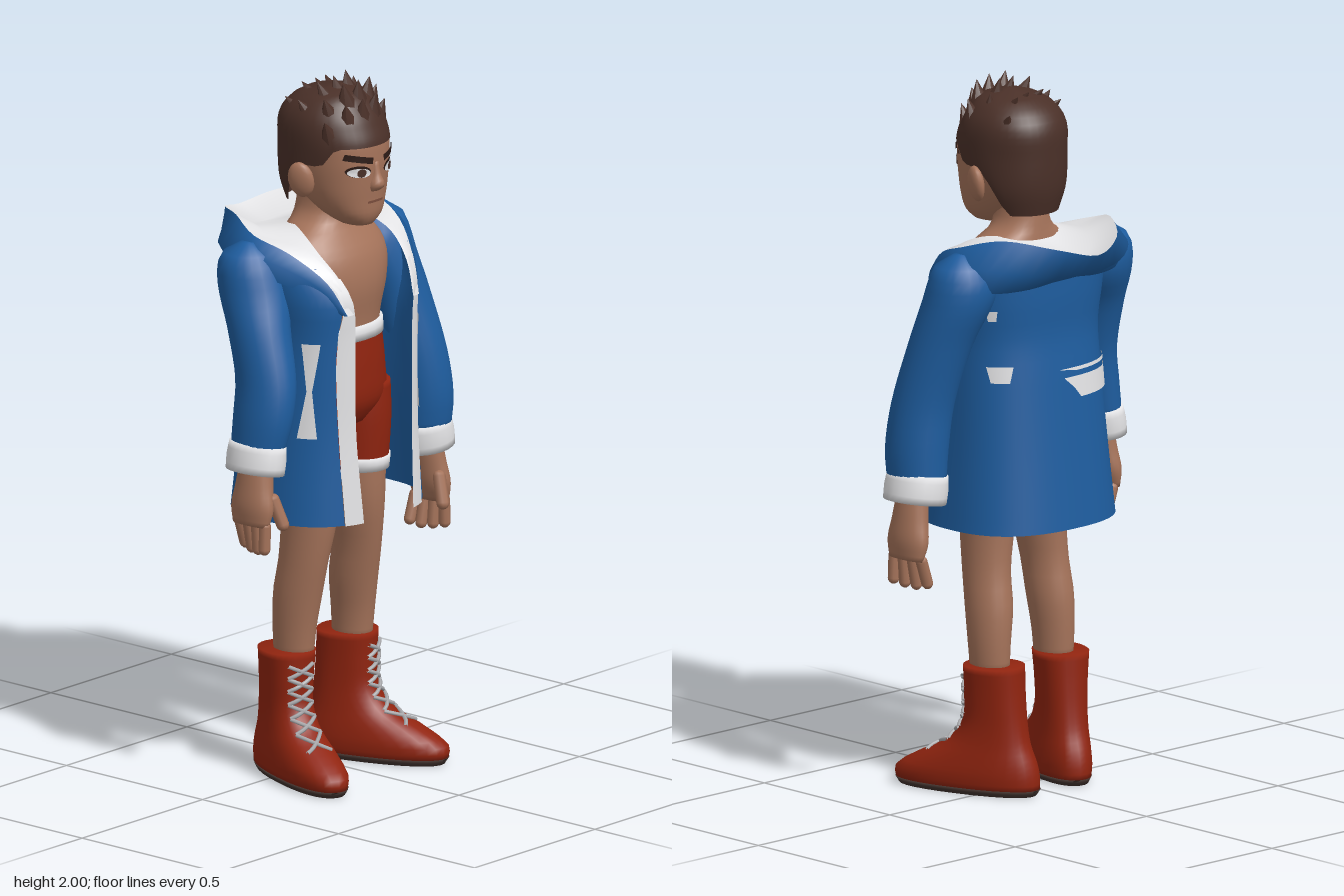
import * as THREE from 'three';

const mat = (name, color) => new THREE.MeshStandardMaterial({ name, color, side: THREE.DoubleSide });
const skin = mat('skin', 0xa5735a), hair = mat('hair', 0x4a3028), blue = mat('coat blue', 0x1e5d9f),
  white = mat('trim white', 0xe4e4e6), red = mat('red', 0x90240f), sole = mat('sole dark', 0x43342f),
  lace = mat('lace grey', 0xa9a9ac), dark = mat('brow dark', 0x2c1a15), lip = mat('lip', 0x7d4f3e);
const CX = -0.02; // middle of head, torso and coat

function add(parent, name, geo, material) {
  const m = new THREE.Mesh(geo, material);
  m.name = name;
  parent.add(m);
  return m;
}

// Indexed surface through rows of points, optionally closed around.
function skinRows(rows, wrap) {
  const n = rows[0].length, pos = [], idx = [];
  rows.forEach(r => r.forEach(p => pos.push(p.x, p.y, p.z)));
  for (let i = 0; i + 1 < rows.length; i++)
    for (let j = 0; j < (wrap ? n : n - 1); j++) {
      const a = i * n + j, b = i * n + (j + 1) % n;
      idx.push(a, a + n, b, b, a + n, b + n);
    }
  const g = new THREE.BufferGeometry();
  g.setAttribute('position', new THREE.Float32BufferAttribute(pos, 3));
  g.setIndex(idx);
  g.computeVertexNormals();
  return g;
}

// Smooth interpolation of section tables whose first column is y.
function sampler(s) {
  const slope = (i, k) => {
    const a = s[Math.max(i - 1, 0)], b = s[Math.min(i + 1, s.length - 1)];
    return (b[k] - a[k]) / (b[0] - a[0]);
  };
  return y => {
    let i = 0;
    while (i < s.length - 2 && y > s[i + 1][0]) i++;
    const h = s[i + 1][0] - s[i][0], t = THREE.MathUtils.clamp((y - s[i][0]) / h, 0, 1), t2 = t * t, t3 = t2 * t;
    return s[i].map((v, k) => k === 0 ? y : v * (2 * t3 - 3 * t2 + 1) + s[i + 1][k] * (3 * t2 - 2 * t3)
      + h * (slope(i, k) * (t3 - 2 * t2 + t) + slope(i + 1, k) * (t3 - t2)));
  };
}
const spow = (v, p) => Math.sign(v) * Math.abs(v) ** p;
const ringPoint = ([y, x, z, rx, rz], t, p) =>
  new THREE.Vector3(x + rx * spow(Math.cos(t), p), y, z + rz * spow(Math.sin(t), p));

// Closed body through sections [y, x, z, rx, rz], listed from the bottom up.
function loft(secs, p = 1, n = 24, steps = 14) {
  const f = sampler(secs), y0 = secs[0][0], y1 = secs[secs.length - 1][0], rows = [];
  for (let i = -1; i <= steps + 1; i++) {
    const s = f(THREE.MathUtils.lerp(y0, y1, THREE.MathUtils.clamp(i / steps, 0, 1)));
    if (i < 0 || i > steps) s[3] = s[4] = 0;
    rows.push(Array.from({ length: n }, (_, j) => ringPoint(s, j / n * Math.PI * 2, p)));
  }
  return skinRows(rows, true);
}

// Coat shell: y, rx, front z, back z, blue edge, trim edge
const coat = sampler([
  [0.76, 0.265, 0.262, -0.2, 0.155, 0.1], [1.0, 0.245, 0.25, -0.175, 0.16, 0.112],
  [1.2, 0.235, 0.25, -0.155, 0.165, 0.115], [1.3, 0.235, 0.25, -0.145, 0.16, 0.115],
  [1.4, 0.25, 0.247, -0.15, 0.152, 0.123], [1.49, 0.255, 0.2, -0.15, 0.19, 0.145]]);
function coatPoint(y, t, off = 0) {
  const [, rx, zf, zb] = coat(y);
  return ringPoint([y, CX, (zf + zb) / 2, rx + off, (zf - zb) / 2 + off], t, 0.8);
}
const edgeAngle = (y, k) => { const s = coat(y); return Math.acos((s[k] / s[1]) ** 1.25); };
function coatPatch(y0, y1, from, to, off, nu, nv) {
  const rows = [];
  for (let i = 0; i <= nv; i++) {
    const y = THREE.MathUtils.lerp(y0, y1, i / nv), a = from(y), b = to(y);
    rows.push(Array.from({ length: nu + 1 }, (_, j) => coatPoint(y, a + (b - a) * j / nu, off)));
  }
  return skinRows(rows, false);
}

function buildCoat(root) {
  const g = new THREE.Group(); g.name = 'coat'; root.add(g);
  add(g, 'coatBody', coatPatch(0.76, 1.49, y => -Math.PI - edgeAngle(y, 4), y => edgeAngle(y, 4), 0, 44, 20), blue);
  add(g, 'leftTrim', coatPatch(0.76, 1.46, y => edgeAngle(y, 4), y => edgeAngle(y, 5), 0.006, 4, 20), white);
  add(g, 'rightTrim', coatPatch(0.76, 1.46, y => Math.PI - edgeAngle(y, 5), y => Math.PI - edgeAngle(y, 4), 0.006, 4, 20), white);
  // pocket edges, narrow in the middle, and light patches on the back
  for (const s of [1, -1]) {
    const at = (y, k) => { const a = 0.5 + k * (0.04 + 0.1 * Math.abs(y - 1.145) / 0.135); return s > 0 ? a : Math.PI - a; };
    add(g, 'pocketTrim', coatPatch(1.01, 1.28, y => at(y, -s), y => at(y, s), 0.009, 4, 10), white);
  }
  // each patch: bottom, top, start and end angle; tapered towards its bottom
  const patches = [[1.12, 1.18, -2.6, -1.55], [1.195, 1.205, -2.65, -1.5], [1.185, 1.23, -0.9, -0.5], [1.36, 1.39, -0.72, -0.55]];
  for (const [y0, y1, a, b] of patches) {
    const inset = y => 0.15 * (b - a) * (y1 - y) / (y1 - y0);
    add(g, 'backPatch', coatPatch(y0, y1, y => a + inset(y), y => b - inset(y), 0.006, 10, 2), white);
  }

  // hood: mirrored curves from the outer seam over the rim to the neck
  const curve = half => {
    const pts = half.map(([x, y, z]) => new THREE.Vector3(CX + x, y, z));
    const mir = half.slice(1).reverse().map(([x, y, z]) => new THREE.Vector3(CX - x, y, z));
    return new THREE.CatmullRomCurve3([...mir, ...pts]).getPoints(48);
  };
  const seam = curve([[0, 1.46, -0.15], [0.13, 1.45, -0.15], [0.25, 1.45, -0.1], [0.29, 1.47, 0], [0.26, 1.45, 0.09], [0.2, 1.41, 0.17], [0.155, 1.36, 0.225]]);
  const bulge = curve([[0, 1.49, -0.25], [0.14, 1.5, -0.225], [0.265, 1.52, -0.125], [0.3, 1.525, 0], [0.265, 1.5, 0.09], [0.2, 1.44, 0.18], [0.152, 1.36, 0.235]]);
  const rim = curve([[0, 1.55, -0.287], [0.11, 1.575, -0.245], [0.205, 1.595, -0.12], [0.255, 1.567, -0.01], [0.23, 1.53, 0.095], [0.178, 1.45, 0.192], [0.148, 1.36, 0.24]]);
  const dip = curve([[0, 1.52, -0.19], [0.08, 1.535, -0.17], [0.15, 1.555, -0.08], [0.195, 1.55, 0], [0.18, 1.53, 0.115], [0.155, 1.45, 0.208], [0.135, 1.36, 0.243]]);
  const neck = curve([[0, 1.56, -0.075], [0.06, 1.56, -0.055], [0.1, 1.57, 0], [0.13, 1.56, 0.06], [0.15, 1.52, 0.135], [0.137, 1.45, 0.205], [0.122, 1.36, 0.242]]);
  add(g, 'hoodOutside', skinRows([seam, bulge, rim], false), blue);
  add(g, 'hoodLining', skinRows([rim, dip, neck], false), white);

  // sleeves and cuffs hang differently on each side
  add(g, 'leftSleeve', loft([[0.9, 0.33, 0.07, 0.078, 0.085], [1.0, 0.325, 0.075, 0.084, 0.092], [1.13, 0.31, 0.065, 0.085, 0.09], [1.3, 0.28, 0.025, 0.088, 0.092],
    [1.42, 0.247, -0.01, 0.1, 0.1], [1.49, 0.237, -0.02, 0.097, 0.09], [1.53, 0.242, -0.02, 0.07, 0.065], [1.552, 0.25, -0.02, 0.02, 0.02]], 1, 24, 20), blue);
  add(g, 'rightSleeve', loft([[0.98, -0.352, 0.07, 0.062, 0.082], [1.08, -0.338, 0.08, 0.07, 0.092], [1.18, -0.322, 0.075, 0.074, 0.092], [1.32, -0.305, 0.035, 0.083, 0.092],
    [1.42, -0.278, -0.005, 0.1, 0.1], [1.49, -0.274, -0.02, 0.097, 0.09], [1.53, -0.28, -0.02, 0.07, 0.065], [1.552, -0.288, -0.02, 0.02, 0.02]], 1, 24, 20), blue);
  for (const [s, x, y, r] of [[1, 0.332, 0.89, 0.086], [-1, -0.355, 0.965, 0.069]]) {
    const c = add(g, 'cuff', loft([[-0.04, 0, 0, r, 0.09], [0, 0, 0, r, 0.092], [0.04, 0, 0, r - 0.005, 0.088]], 1, 24, 4), white);
    c.position.set(x, y, 0.07);
    c.rotation.z = s * 0.15;
  }
}

function buildHand(root, s, x, y) {
  const g = new THREE.Group(); g.name = s > 0 ? 'leftHand' : 'rightHand'; root.add(g);
  g.position.set(x, y, 0.07);
  g.rotation.z = s * 0.14;
  add(g, 'palm', loft([[-0.17, 0, 0, 0.026, 0.062], [-0.12, 0, 0, 0.038, 0.071], [-0.06, 0, 0, 0.04, 0.06], [0.03, 0, 0, 0.04, 0.048]]), skin);
  for (let i = 0; i < 4; i++) {
    const f = add(g, 'finger', new THREE.CapsuleGeometry(0.0165, 0.085 - 0.012 * Math.abs(i - 1.7), 4, 8), skin);
    f.position.set(-s * (0.006 + 0.007 * i), -0.2, 0.05 - 0.033 * i);
    f.rotation.z = -s * (0.1 + 0.12 * i);
  }
  const t = add(g, 'thumb', new THREE.CapsuleGeometry(0.018, 0.075, 4, 8), skin);
  t.position.set(-s * 0.03, -0.125, 0.068);
  t.rotation.set(-0.35, 0, -s * 0.3);
}

function buildBoot(root, s, x) {
  const g = new THREE.Group(); g.name = s > 0 ? 'leftBoot' : 'rightBoot'; root.add(g);
  g.position.set(x, 0, 0);
  g.rotation.y = s * 0.34;
  const secs = [[0.015, 0, 0.077, 0.076, 0.216], [0.05, 0, 0.077, 0.081, 0.216], [0.09, 0, 0.05, 0.077, 0.18], [0.14, 0, 0.012, 0.069, 0.122],
    [0.2, 0, -0.006, 0.065, 0.093], [0.28, 0, -0.006, 0.068, 0.086], [0.36, 0, -0.003, 0.075, 0.085]];
  add(g, 'bootBody', loft(secs, 0.87, 28, 20), red);
  add(g, 'bootSole', loft([[0, 0, 0.077, 0.07, 0.207], [0.018, 0, 0.077, 0.078, 0.219]], 0.87, 28, 2), sole);
  // crossed laces lying on the shaft
  const f = sampler(secs), front = (px, y) => {
    const q = f(y), c = (Math.abs(px) / q[3]) ** (1 / 0.87);
    return new THREE.Vector3(px, y, q[2] + q[4] * Math.sqrt(1 - c * c) ** 0.87 + 0.004);
  };
  for (let i = 0; i < 6; i++)
    for (const d of [1, -1]) {
      const pts = [-1, -0.5, 0, 0.5, 1].map(k => front(k * d * 0.038, 0.125 + 0.037 * i + 0.018 * k));
      add(g, 'lace', new THREE.TubeGeometry(new THREE.CatmullRomCurve3(pts), 8, 0.006, 6), lace);
    }
}

function buildHead(root) {
  const g = new THREE.Group(); g.name = 'head'; root.add(g);
  const secs = [[1.583, CX, 0.14, 0.04, 0.05], [1.61, CX, 0.125, 0.075, 0.08], [1.66, CX, 0.095, 0.105, 0.115], [1.72, CX, 0.07, 0.122, 0.145],
    [1.78, CX, 0.06, 0.13, 0.157], [1.84, CX, 0.055, 0.13, 0.153], [1.9, CX, 0.045, 0.1, 0.11], [1.92, CX, 0.045, 0.06, 0.07]];
  add(g, 'face', loft(secs, 0.87, 32, 24), skin);
  add(g, 'nose', loft([[1.685, CX, 0.208, 0.018, 0.012], [1.702, CX, 0.21, 0.024, 0.03], [1.73, CX, 0.21, 0.014, 0.018], [1.768, CX, 0.208, 0.011, 0.01]], 1, 12, 8), skin);
  // flat details pressed onto the curved face
  const f = sampler(secs);
  const decal = (name, geo, x, y, rot, off, m) => {
    geo.rotateZ(rot).translate(x, y, 0);
    const p = geo.attributes.position;
    for (let i = 0; i < p.count; i++) {
      const q = f(p.getY(i)), c = Math.min(1, Math.abs((p.getX(i) - CX) / q[3])) ** (1 / 0.87);
      p.setZ(i, q[2] + q[4] * Math.sqrt(1 - c * c) ** 0.87 + off);
    }
    geo.computeVertexNormals();
    add(g, name, geo, m);
  };
  for (const s of [1, -1]) {
    const x = CX + s * 0.06;
    decal('eyeLine', new THREE.CircleGeometry(1, 20).scale(0.034, 0.017, 1), x, 1.748, s * 0.12, 0.003, dark);
    decal('eyeWhite', new THREE.CircleGeometry(1, 20).scale(0.031, 0.0135, 1), x, 1.745, s * 0.12, 0.005, white);
    decal('iris', new THREE.CircleGeometry(0.0125, 16), x - s * 0.003, 1.745, 0, 0.007, hair);
    decal('brow', new THREE.PlaneGeometry(0.078, 0.018, 6, 1), x, 1.784, s * 0.22, 0.006, dark);
    const ear = add(g, 'ear', new THREE.SphereGeometry(1, 14, 10), skin);
    ear.scale.set(0.02, 0.052, 0.038);
    ear.position.set(CX + s * 0.136, 1.715, 0.058);
    ear.rotation.set(-0.15, -s * 0.35, -s * 0.2);
  }
  decal('mouth', new THREE.PlaneGeometry(0.06, 0.007, 6, 1), CX, 1.655, 0, 0.004, lip);

  // hair cap with a hairline that drops behind the ears
  const cap = sampler([[1.62, CX, 0.015, 0.095, 0.095], [1.7, CX, 0.035, 0.128, 0.135], [1.8, CX, 0.058, 0.139, 0.162],
    [1.87, CX, 0.05, 0.137, 0.15], [1.915, CX, 0.05, 0.115, 0.122], [1.95, CX, 0.06, 0.07, 0.075], [1.965, CX, 0.065, 0.002, 0.002]]);
  const rows = [], step = THREE.MathUtils.smoothstep;
  for (let i = 0; i <= 18; i++)
    rows.push(Array.from({ length: 40 }, (_, j) => {
      const t = j / 40 * Math.PI * 2, s = Math.sin(t);
      const low = 1.63 + 0.13 * step(s, -0.45, 0) + 0.055 * step(s, 0.4, 0.65);
      return ringPoint(cap(low + (1.965 - low) * i / 18), t, 0.95);
    }));
  add(g, 'hairCap', skinRows(rows, true), hair);
  // thick swept tufts, tallest above the forehead: z, y, lean, half spread
  const tufts = [[0.168, 1.885, 0.25, 0.092], [0.14, 1.925, 0.1, 0.09], [0.09, 1.93, -0.25, 0.085], [0.03, 1.915, -0.7, 0.08]];
  tufts.forEach(([z, y, lean, spread], r) => {
    for (let i = 0; i < 5; i++) {
      const k = (i - 2) / 2 + (r % 2 ? 0.1 : -0.1);
      const tuft = add(g, 'hairTuft', new THREE.ConeGeometry(0.055, 0.13, 7), hair);
      tuft.position.set(CX + k * spread, y - 0.035 * k * k + 0.008 * (i % 2), z - 0.03 * k * k);
      tuft.rotation.set(lean, 0, 0.15 - k * 0.4);
    }
  });
}

export function createModel() {
  const root = new THREE.Group(); root.name = 'boxerInHoodedCoat';
  buildHead(root);
  add(root, 'torso', loft([[1.2, CX, 0.05, 0.14, 0.11], [1.3, CX, 0.05, 0.145, 0.115], [1.4, CX, 0.05, 0.17, 0.125], [1.48, CX, 0.045, 0.182, 0.115],
    [1.54, CX, 0.03, 0.155, 0.095], [1.58, CX, 0.02, 0.09, 0.08], [1.62, CX, 0.022, 0.07, 0.078], [1.7, CX, 0.035, 0.07, 0.08]], 0.9, 28, 24), skin);
  buildCoat(root);
  // shorts
  add(root, 'shortsHips', loft([[1.0, -0.02, 0.05, 0.1, 0.085], [1.06, -0.02, 0.05, 0.165, 0.12], [1.15, CX, 0.05, 0.163, 0.125], [1.26, CX, 0.05, 0.15, 0.118]], 0.9), red);
  add(root, 'waistband', loft([[1.247, CX, 0.05, 0.155, 0.124], [1.288, CX, 0.05, 0.153, 0.122]], 0.9, 24, 2), white);
  for (const [s, x, knee, ankle] of [[1, 0.077, 0.09, 0.107], [-1, -0.118, -0.13, -0.135]]) {
    add(root, 'shortsLeg', loft([[0.87, x, 0.052, 0.083, 0.098], [1.0, x, 0.052, 0.086, 0.108], [1.1, x, 0.05, 0.08, 0.11]]), red);
    add(root, 'shortsHem', loft([[0.847, x, 0.052, 0.084, 0.1], [0.885, x, 0.052, 0.088, 0.104]], 1, 24, 2), white);
    add(root, s > 0 ? 'leftLeg' : 'rightLeg', loft([[0.33, ankle, 0.012, 0.048, 0.06], [0.42, ankle, 0.015, 0.053, 0.066], [0.52, (knee + ankle) / 2, 0.025, 0.06, 0.074],
      [0.62, knee, 0.044, 0.059, 0.076], [0.75, x, 0.055, 0.068, 0.086], [0.9, x, 0.053, 0.073, 0.092]]), skin);
  }
  buildBoot(root, 1, 0.107);
  buildBoot(root, -1, -0.148);
  buildHand(root, 1, 0.347, 0.86);
  buildHand(root, -1, -0.355, 0.945);
  return root;
}
